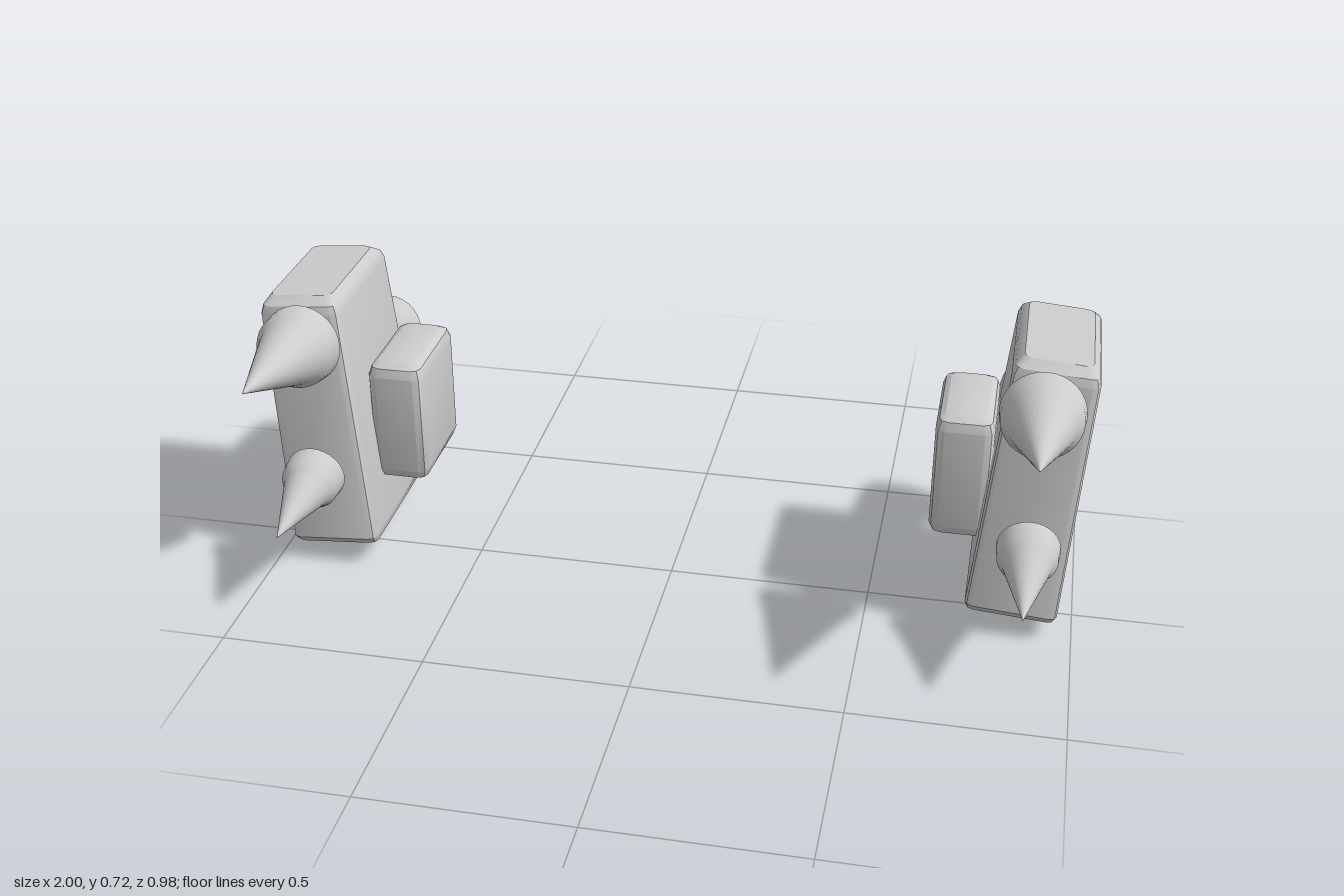
import * as THREE from 'three';
import { toCreasedNormals } from 'three/addons/utils/BufferGeometryUtils.js';

const grey = new THREE.MeshStandardMaterial({ color: 0xcccccc });
grey.name = 'light grey';

// Bevelled block from stacked rounded rectangles.
// Each ring: [y, centre x, half width, front z, back z]; lean tips each ring sideways.
function block(rings, radius, side, lean) {
  const pos = [], idx = [], n = 12;
  const tilt = (y, dx) => y - dx * lean * side;
  for (const [y, cx, hx, zf, zb] of rings) {
    const cz = (zf + zb) / 2, hz = (zf - zb) / 2;
    for (let q = 0; q < 4; q++) {
      const mid = (q + 0.5) * Math.PI / 2;
      for (let k = 0; k < 3; k++) {
        const a = (q + k / 2) * Math.PI / 2;
        const dx = Math.sign(Math.sin(mid)) * (hx - radius) + radius * Math.sin(a);
        const dz = Math.sign(Math.cos(mid)) * (hz - radius) + radius * Math.cos(a);
        pos.push(side * cx + dx, tilt(y, dx), cz + dz);
      }
    }
  }
  const last = rings.length - 1;
  for (const r of [rings[0], rings[last]]) pos.push(side * r[1], r[0], (r[3] + r[4]) / 2);
  const bottom = rings.length * n, top = bottom + 1;
  for (let i = 0; i < n; i++) {
    const j = (i + 1) % n;
    for (let r = 0; r < last; r++) {
      const a = r * n + i, b = r * n + j;
      idx.push(a, b, b + n, a, b + n, a + n);
    }
    idx.push(bottom, j, i, top, last * n + i, last * n + j);
  }
  const g = new THREE.BufferGeometry();
  g.setAttribute('position', new THREE.Float32BufferAttribute(pos, 3));
  g.setIndex(idx);
  return toCreasedNormals(g, 0.5);
}

// Turned part: profile [radius, distance] along an axis in the y-z plane
function turned(profile, x, y, z, dy, dz) {
  const points = profile.map(([r, s]) => new THREE.Vector2(r, s));
  const mesh = new THREE.Mesh(toCreasedNormals(new THREE.LatheGeometry(points, 32), 0.6), grey);
  mesh.position.set(x, y, z);
  mesh.rotation.x = Math.atan2(dz, dy);
  return mesh;
}

function createPod(side) {
  const pod = new THREE.Group();
  pod.name = side > 0 ? 'leftPod' : 'rightPod';
  const x = side * 0.877;
  const add = (name, mesh) => { mesh.name = name; pod.add(mesh); };

  // Leaning, tapered main body
  add('body', new THREE.Mesh(block([
    [0.04, 0.85, 0.095, 0.075, -0.265],
    [0.055, 0.85, 0.106, 0.109, -0.288],
    [0.075, 0.851, 0.11, 0.125, -0.3],
    [0.68, 0.9, 0.1, 0.09, -0.28],
    [0.7, 0.9015, 0.094, 0.083, -0.272],
    [0.719, 0.903, 0.078, 0.058, -0.246],
  ], 0.018, side, 0.08), grey));

  // Box on the inner face
  add('sidePack', new THREE.Mesh(block([
    [0.19, 0.705, 0.05, -0.025, -0.255],
    [0.198, 0.705, 0.063, -0.008, -0.272],
    [0.218, 0.705, 0.07, 0, -0.28],
    [0.48, 0.705, 0.07, 0, -0.28],
    [0.502, 0.705, 0.063, -0.008, -0.272],
    [0.512, 0.705, 0.05, -0.025, -0.255],
  ], 0.022, side, 0), grey));

  // Front spikes with their mounting stubs
  add('upperSpike', turned([[0, 0], [0.098, 0], [0.094, 0.046], [0.081, 0.066], [0, 0.355]],
    x, 0.629, 0.141, 0.048, 0.352));
  add('lowerSpike', turned([[0, 0], [0.075, 0], [0.071, 0.047], [0.058, 0.067], [0, 0.272]],
    x, 0.267, 0.133, -0.024, 0.271));
  const stub = [[0, 0], [0.03, 0], [0.03, 0.12], [0, 0.12]];
  add('upperStub', turned(stub, x, 0.54, 0.055, 0.7, 0.7));
  add('lowerStub', turned([[0, 0], [0.03, 0], [0.03, 0.06], [0, 0.06]], x, 0.267, 0.08, 0, 1));

  // Rear thrusters: collar, flaring bell and closed end
  const thruster = [[0, -0.26], [0.062, -0.26], [0.062, -0.178], [0.055, -0.178],
    [0.085, -0.09], [0.106, -0.015], [0.098, 0], [0, 0]];
  add('upperThruster', turned(thruster, x, 0.383, -0.426, -0.57, -0.82));
  add('lowerThruster', turned(thruster, x, 0.075, -0.4185, -0.7, -0.714));
  return pod;
}

export function createModel() {
  const model = new THREE.Group();
  model.name = 'thrusterPods';
  for (const side of [1, -1]) model.add(createPod(side));
  return model;
}
